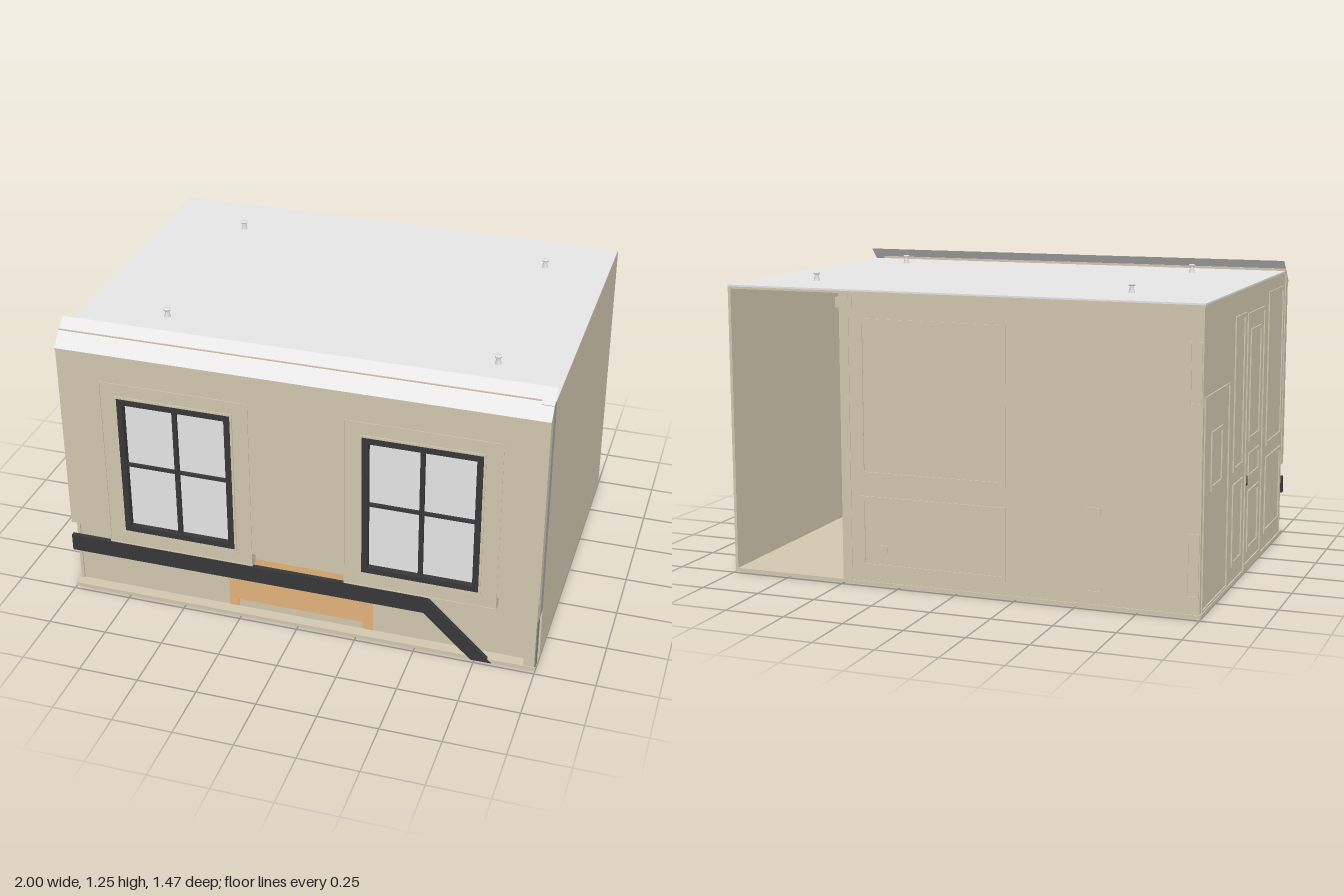
import * as THREE from 'three';

const mat = (name, color, side = THREE.FrontSide) => {
  const m = new THREE.MeshStandardMaterial({ color, side });
  m.name = name;
  return m;
};

export function createModel() {
  const tan = mat('tan wall', 0xd3c8b0);
  const pale = mat('pale grey', 0xe6e6e6);
  const sheet = mat('cornice grey', 0xe8e8e8, THREE.DoubleSide);
  const grey = mat('mid grey', 0xa6a6a6);
  const shade = mat('deep grey', 0x8a8a88);
  const dark = mat('charcoal', 0x38383a);
  const wood = mat('orange wood', 0xe4b37c);

  const root = new THREE.Group();
  root.name = 'room';

  // Box given by its limits on each axis
  const box = (name, m, x0, x1, y0, y1, z0, z1) => {
    const mesh = new THREE.Mesh(new THREE.BoxGeometry(x1 - x0, y1 - y0, z1 - z0), m);
    mesh.position.set((x0 + x1) / 2, (y0 + y1) / 2, (z0 + z1) / 2);
    mesh.name = name;
    root.add(mesh);
  };
  const points = list => list.map(p => new THREE.Vector2(...p));
  const rect = (C, x0, x1, y0, y1) => new C(points([[x0, y0], [x1, y0], [x1, y1], [x0, y1]]));
  const slab = (name, m, shape, z, depth) => {
    const mesh = new THREE.Mesh(new THREE.ExtrudeGeometry(shape, { depth, bevelEnabled: false }), m);
    mesh.position.z = z;
    mesh.name = name;
    root.add(mesh);
    return mesh;
  };
  // Rectangular border of width w
  const border = (name, m, x0, x1, y0, y1, w, z, depth) => {
    const s = rect(THREE.Shape, x0, x1, y0, y1);
    s.holes.push(rect(THREE.Path, x0 + w, x1 - w, y0 + w, y1 - w));
    return slab(name, m, s, z, depth);
  };

  // Room shell, open at one end of the back
  box('floor', tan, -1, 1, 0.002, 0.016, -0.735, 0.732);
  box('ceiling', tan, -0.999, 0.999, 1.188, 1.197, -0.734, 0.655);
  box('roof', pale, -1, 1, 1.197, 1.204, -0.735, 0.655);
  box('rightWall', tan, 0.988, 1, 0.01, 1.197, -0.735, 0.642);
  box('leftWall', tan, -0.995, -0.982, 0.01, 1.195, -0.73, 0.69);
  box('backWall', tan, -0.995, 0.48, 0.01, 1.195, -0.73, -0.716);

  // Front wall with two window openings, overhanging a recessed base
  const windows = [-0.508, 0.514];
  const wall = rect(THREE.Shape, -0.999, 0.999, 0.325, 1.155);
  for (const c of windows) wall.holes.push(rect(THREE.Path, c - 0.235, c + 0.235, 0.339, 0.96));
  slab('frontWall', tan, wall, 0.69, 0.038);
  box('recessedBase', tan, -0.998, 0.96, 0.01, 0.335, 0.672, 0.683);
  box('endPlinth', tan, 0.95, 0.996, 0.016, 0.325, 0.691, 0.728);
  box('plinthEnd', shade, 0.996, 1, 0.02, 0.24, 0.691, 0.731);
  const head = new THREE.Shape(points([[-0.69, 1.15], [-0.69, 1.193], [-0.728, 1.155], [-0.728, 1.15]]));
  const headMesh = new THREE.Mesh(new THREE.ExtrudeGeometry(head, { depth: 2, bevelEnabled: false }), tan);
  headMesh.rotation.y = Math.PI / 2;
  headMesh.position.x = -1;
  headMesh.name = 'wallHead';
  root.add(headMesh);
  box('ridgeStrip', tan, -1, 0.95, 1.198, 1.213, 0.669, 0.679);
  box('endPost', grey, 0.95, 1, 0.24, 1.2, 0.642, 0.689);

  // Sloping cornice sheet along the front edge
  const cornice = new THREE.Mesh(new THREE.PlaneGeometry(2, Math.hypot(0.1, 0.095)), sheet);
  cornice.rotation.x = -Math.atan2(0.1, 0.095);
  cornice.position.set(0, 1.2025, 0.685);
  cornice.name = 'cornice';
  root.add(cornice);
  box('corniceLip', tan, -1, 1, 1.148, 1.156, 0.722, 0.733);

  // Windows
  for (const c of windows) {
    box('windowGlass', pale, c - 0.236, c + 0.236, 0.337, 0.962, 0.705, 0.71);
    border('windowFrame', dark, c - 0.24, c + 0.24, 0.337, 0.964, 0.025, 0.71, 0.025);
    box('windowPost', dark, c - 0.009, c + 0.009, 0.345, 0.95, 0.71, 0.724);
    box('windowRail', dark, c - 0.23, c + 0.23, 0.648, 0.66, 0.71, 0.724);
    border('windowTrim', tan, c - 0.249, c + 0.249, 0.326, 0.973, 0.009, 0.72, 0.013);
    box('windowSill', tan, c - 0.255, c + 0.255, 0.318, 0.327, 0.72, 0.734);
    box('windowApron', tan, c - 0.315, c + 0.315, 0.264, 0.325, 0.69, 0.728);
    border('wallPanel', tan, c - 0.315, c + 0.315, 0.264, 1.03, 0.005, 0.72, 0.0115);
  }

  // Dark stair rail across the front
  slab('stairRail', dark, new THREE.Shape(points(
    [[-1, 0.19], [0.535, 0.19], [0.735, 0], [0.82, 0], [0.54, 0.265], [-1, 0.265]])), 0.717, 0.018);

  // Table showing through the recessed base
  box('tableTop', wood, -0.2, 0.2, 0.19, 0.27, 0.1, 0.6845);
  box('tableApron', wood, -0.315, 0.31, 0.05, 0.2, -0.15, 0.685);
  for (const x of [-0.295, 0.288]) {
    for (const z of [-0.12, 0.6625]) box('tableLeg', wood, x - 0.022, x + 0.022, 0.012, 0.06, z - 0.0222, z + 0.0222);
    for (const z of [-0.12, 0.66]) box('tableFoot', wood, x - 0.02, x + 0.02, 0, 0.01, z - 0.012, z + 0.012);
  }

  // Roof vents
  for (const x of [-0.635, 0.73]) for (const z of [-0.47, 0.435]) {
    const vent = new THREE.Mesh(new THREE.LatheGeometry(
      points([[0.014, 0], [0.007, 0.028], [0.014, 0.03], [0.014, 0.037], [0, 0.037]]), 12), pale);
    vent.position.set(x, 1.203, z);
    vent.name = 'roofVent';
    root.add(vent);
  }

  // Back wall mouldings and fittings
  border('upperBackPanel', tan, -0.21, 0.42, 0.45, 1.09, 0.02, -0.735, 0.006);
  border('lowerBackPanel', tan, -0.21, 0.42, 0.07, 0.37, 0.02, -0.735, 0.006);
  box('socket', tan, 0.3, 0.34, 0.14, 0.17, -0.735, -0.729);
  box('switchPlate', tan, -0.6, -0.54, 0.37, 0.4, -0.735, -0.729);
  box('ductCover', tan, -0.6, -0.54, 0.02, 0.07, -0.735, -0.729);
  box('openingPost', tan, 0.46, 0.5, 0.01, 1.19, -0.733, -0.7);
  box('postCapital', tan, 0.445, 0.515, 1.13, 1.17, -0.735, -0.69);
  for (const [a, b] of [[0.08, 0.33], [0.82, 1.06]])
    border('cornerBracket', tan, -0.99, -0.94, a, b, 0.008, -0.735, 0.006);

  // Left wall doors and panels, placed by z range then y range
  const sidePanel = (name, z0, z1, y0, y1, w = 0.018) => {
    const p = border(name, tan, z0, z1, y0, y1, w, 0, 0.006);
    p.rotation.y = -Math.PI / 2;
    p.position.set(-0.994, 0, 0);
  };
  sidePanel('cupboardFrame', -0.71, -0.32, 0.02, 0.85, 0.008);
  sidePanel('hatch', -0.6, -0.42, 0.47, 0.7);
  sidePanel('tallPanel', -0.24, -0.07, 0.47, 1.1);
  sidePanel('lowPanel', -0.24, -0.07, 0.08, 0.42);
  sidePanel('doorFrame', -0.03, 0.29, 0.016, 1.09);
  for (const [a, b] of [[0.08, 0.34], [0.39, 0.5], [0.55, 1.02]]) sidePanel('doorPanel', 0.03, 0.23, a, b);
  box('doorHandle', dark, -1, -0.995, 0.37, 0.41, -0.01, 0.01);
  sidePanel('tallPanel', 0.36, 0.66, 0.47, 1.14);
  sidePanel('lowPanel', 0.36, 0.66, 0.08, 0.42);

  return root;
}
